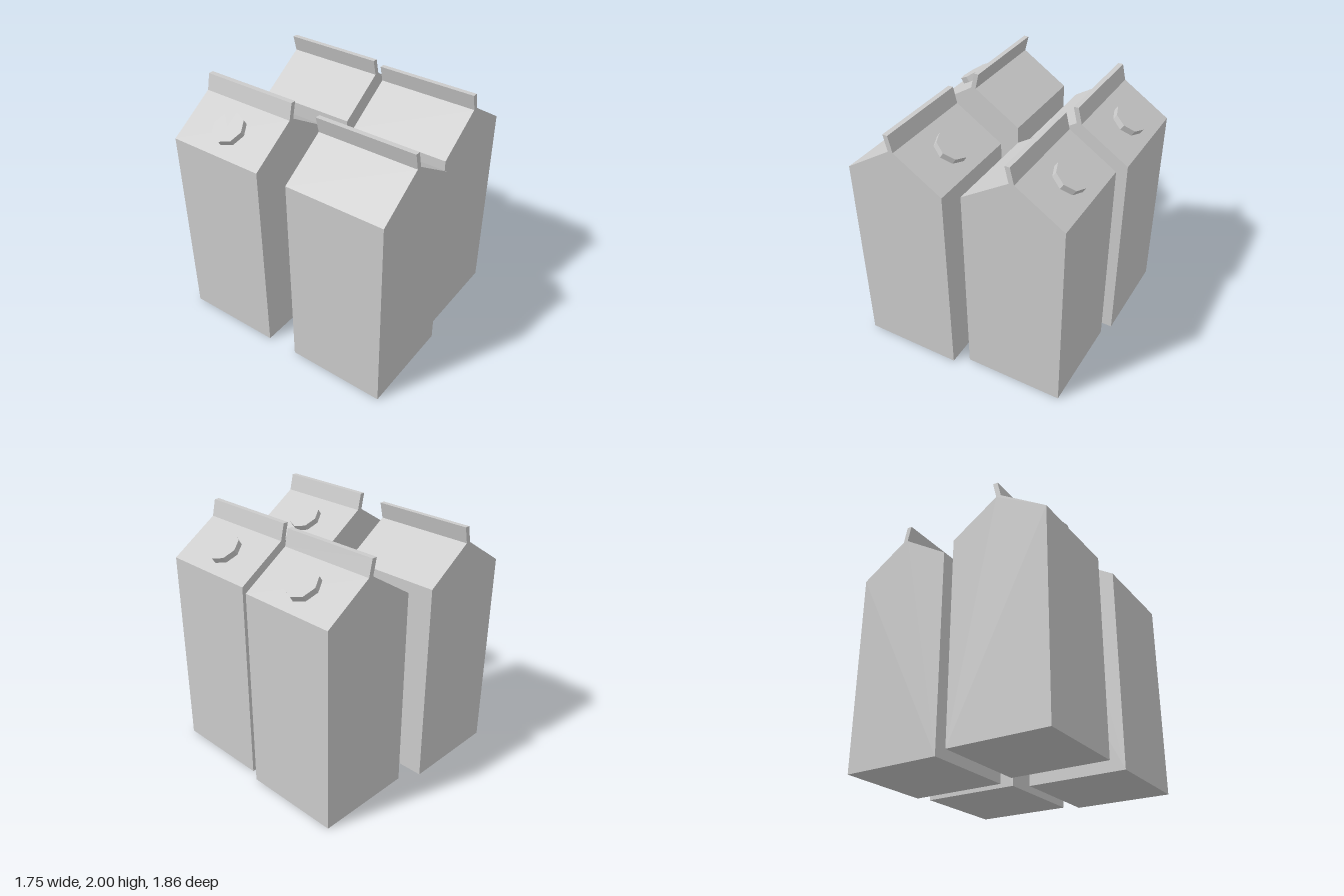
import * as THREE from 'three';

const SIZE = 0.8, HALF = SIZE / 2;
const EAVE = 1.628, RIDGE = 1.872, TOP = 2, RIDGE_HALF = 0.02;
const material = new THREE.MeshStandardMaterial({ color: 0xcccccc, flatShading: true });

// Extrude an x-y outline through the depth of a carton, centred on z
function prism(name, points) {
  const shape = new THREE.Shape(points.map(([x, y]) => new THREE.Vector2(x, y)));
  const geometry = new THREE.ExtrudeGeometry(shape, { depth: SIZE, bevelEnabled: false });
  geometry.translate(0, 0, -HALF);
  const mesh = new THREE.Mesh(geometry, material);
  mesh.name = name;
  return mesh;
}

function createCarton(name) {
  const carton = new THREE.Group();
  carton.name = name;

  // Box body with gabled roof
  carton.add(prism('cartonBody', [
    [-HALF, 0], [HALF, 0], [HALF, EAVE], [RIDGE_HALF, RIDGE], [-RIDGE_HALF, RIDGE], [-HALF, EAVE],
  ]));

  // Sealed fin along the ridge, leaning away from the cap
  carton.add(prism('topFin', [
    [-RIDGE_HALF, RIDGE], [RIDGE_HALF, RIDGE], [-0.01, TOP], [-0.05, TOP],
  ]));

  // Octagonal screw cap sitting square on the roof slope
  const slope = Math.atan2(RIDGE - EAVE, HALF - RIDGE_HALF);
  const thickness = 0.05, capX = 0.215;
  const capY = RIDGE - (capX - RIDGE_HALF) * Math.tan(slope);
  const cap = new THREE.Mesh(new THREE.CylinderGeometry(0.13, 0.13, thickness, 8), material);
  cap.name = 'screwCap';
  cap.rotation.z = -slope;
  cap.position.set(
    capX + Math.sin(slope) * thickness / 2,
    capY + Math.cos(slope) * thickness / 2,
    0,
  );
  carton.add(cap);
  return carton;
}

export function createModel() {
  const model = new THREE.Group();
  model.name = 'cartons';

  // Four loosely placed cartons, one of them turned around
  const placements = [
    ['frontRightCarton', -0.48, 0.53, 0],
    ['backRightCarton', -0.48, -0.53, Math.PI],
    ['frontLeftCarton', 0.425, 0.455, 0],
    ['backLeftCarton', 0.475, -0.442, 0],
  ];
  for (const [name, x, z, turn] of placements) {
    const carton = createCarton(name);
    carton.position.set(x, 0, z);
    carton.rotation.y = turn;
    model.add(carton);
  }
  return model;
}
